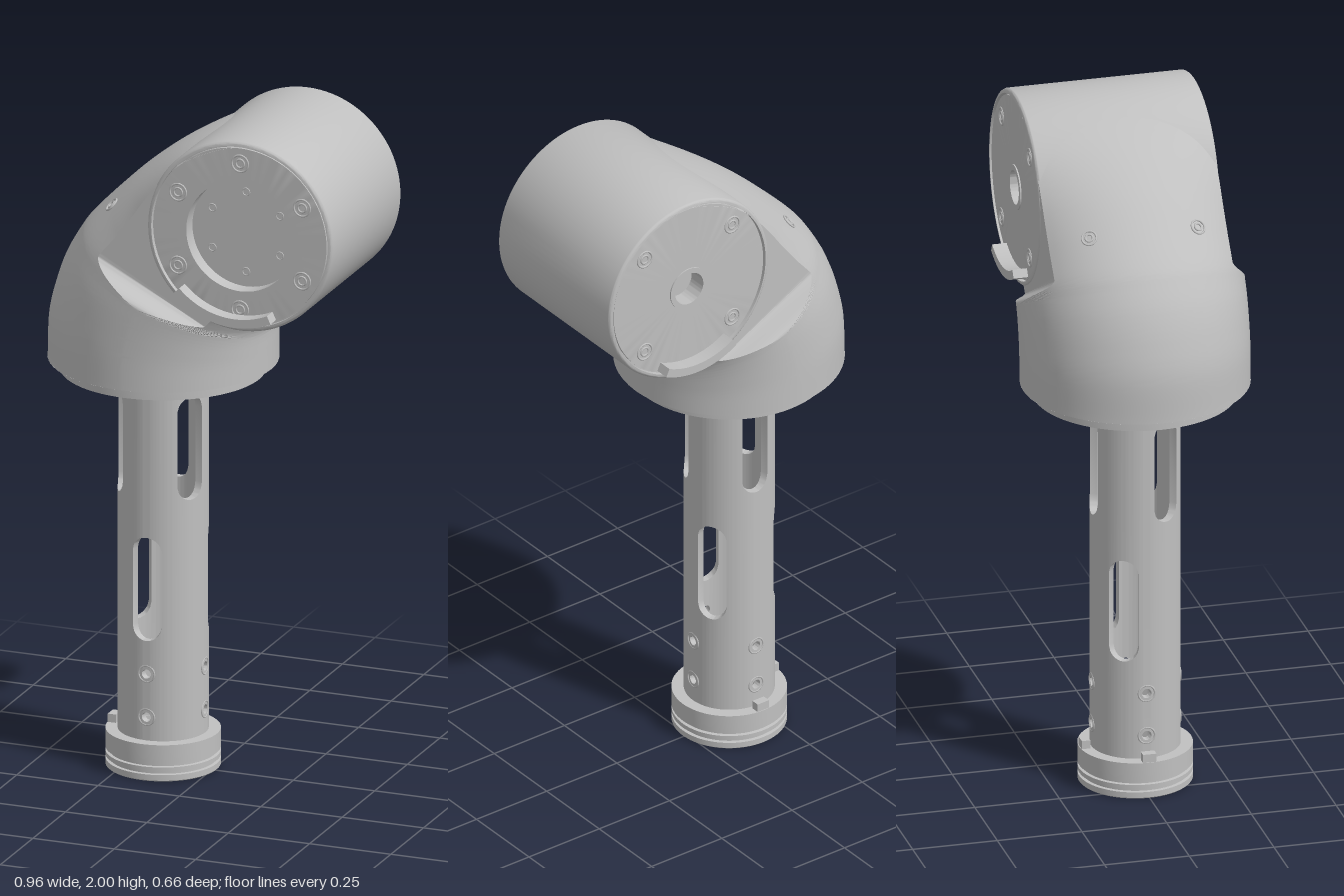
import * as THREE from 'three';
import { toCreasedNormals } from 'three/addons/utils/BufferGeometryUtils.js';

const metal = new THREE.MeshStandardMaterial({ color: 0xc0c0c0, side: THREE.DoubleSide });
metal.name = 'light grey metal';

const TUBE_X = -0.15;                       // axis of tube and base
const JX = 0.191, JY = 1.715;               // axis of the joint drum

function add(parent, name, geo, x = 0, y = 0, z = 0) {
  const m = new THREE.Mesh(geo, metal);
  m.name = name;
  m.position.set(x, y, z);
  parent.add(m);
  return m;
}
function lathe(points, seg = 72) {
  const g = new THREE.LatheGeometry(points.map(p => new THREE.Vector2(p[0], p[1])), seg);
  return toCreasedNormals(g, 0.5);
}
function fromQuads(quads) {
  const pos = [];
  for (const [a, b, c, d] of quads) pos.push(...a, ...b, ...c, ...a, ...c, ...d);
  const g = new THREE.BufferGeometry();
  g.setAttribute('position', new THREE.Float32BufferAttribute(pos, 3));
  return toCreasedNormals(g, 0.55);
}

// Hollow tube with rounded slots and screw holes, built in angular columns
function tubeGeometry(ro, ri, y0, y1) {
  const D = Math.PI / 180, N = 180, quads = [];
  const rows = [                            // centre height, half straight part, radius, angles
    { y: 0.18, s: 0, r: 0.0142, at: [0, 90, 180, 270] },
    { y: 0.31, s: 0, r: 0.0142, at: [0, 90, 180, 270] },
    { y: 0.565, s: 0.11, r: 0.0455, at: [90, 210, 330] },
    { y: 0.985, s: 0.11, r: 0.0455, at: [30, 150, 270] },
  ];
  const P = (deg, r, y) => [r * Math.cos(deg * D), y, r * Math.sin(deg * D)];
  const offset = (row, deg) => Math.min(...row.at.map(a => Math.abs(((deg - a + 540) % 360) - 180))) * D * ro;
  const open = (row, i) => Math.max(offset(row, i * 2), offset(row, i * 2 + 2)) <= row.r + 0.0005;
  const half = (row, deg) => row.s + Math.sqrt(Math.max(0, row.r ** 2 - offset(row, deg) ** 2));
  for (let i = 0; i < N; i++) {
    const a = i * 2, b = a + 2;
    let la = y0, lb = y0;
    const wall = (ha, hb) => {
      quads.push([P(b, ro, lb), P(a, ro, la), P(a, ro, ha), P(b, ro, hb)]);
      quads.push([P(a, ri, la), P(b, ri, lb), P(b, ri, hb), P(a, ri, ha)]);
    };
    for (const row of rows) {
      const o = open(row, i), ha = o ? half(row, a) : 0, hb = o ? half(row, b) : 0;
      const lo = [row.y - ha, row.y - hb], hi = [row.y + ha, row.y + hb];
      wall(lo[0], lo[1]);
      if (o) {
        quads.push([P(b, ro, lo[1]), P(a, ro, lo[0]), P(a, ri, lo[0]), P(b, ri, lo[1])]);
        quads.push([P(a, ro, hi[0]), P(b, ro, hi[1]), P(b, ri, hi[1]), P(a, ri, hi[0])]);
        if (!open(row, i - 1)) quads.push([P(a, ro, lo[0]), P(a, ro, hi[0]), P(a, ri, hi[0]), P(a, ri, lo[0])]);
        if (!open(row, i + 1)) quads.push([P(b, ri, lo[1]), P(b, ri, hi[1]), P(b, ro, hi[1]), P(b, ro, lo[1])]);
      }
      [la, lb] = hi;
    }
    wall(y1, y1);
  }
  return fromQuads(quads);
}

// Elbow housing: sections from outer point P to inner point Q, with flattened sides
function elbowGeometry() {
  const stations = [                        // Px, Py, Qx, Qy, roundness, half width
    [-0.48, 1.23, 0.182, 1.23, 0.33, 0.33], [-0.475, 1.36, 0.182, 1.28, 0.33, 0.33],
    [-0.452, 1.46, 0.182, 1.31, 0.33, 0.33], [-0.42, 1.545, 0.182, 1.335, 0.33, 0.33],
    [-0.38, 1.615, 0.183, 1.355, 0.33, 0.327], [-0.348, 1.658, 0.188, 1.373, 0.332, 0.263],
    [-0.27, 1.738, 0.2, 1.396, 0.34, 0.263], [-0.18, 1.822, 0.217, 1.412, 0.37, 0.263],
    [-0.08, 1.897, 0.232, 1.424, 0.45, 0.263], [0.02, 1.95, 0.245, 1.433, 0.6, 0.263],
    [0.12, 1.984, 0.255, 1.44, 0.75, 0.263], [0.19, 1.996, 0.255, 1.446, 0.9, 0.263],
  ];
  const curve = k => new THREE.CatmullRomCurve3(
    stations.map(s => new THREE.Vector3(s[k], s[k + 1], s[4 + k / 2])), false, 'catmullrom', 0.5);
  const pc = curve(0), qc = curve(2), S = 143, N = 28, rings = [];
  for (let i = 0; i <= S; i++) {
    const p = pc.getPoint(i / S), q = qc.getPoint(i / S);
    const W = p.z, lim = Math.min(W * 0.9999, Math.max(0.263, q.z));
    const cx = (p.x + q.x) / 2, cy = (p.y + q.y) / 2, hx = p.x - cx, hy = p.y - cy;
    const a0 = Math.asin(lim / W), u0 = Math.cos(a0);
    const at = (u, z) => [cx + hx * u, cy + hy * u, z];
    // leave the drum's circular face free
    const len = Math.hypot(hx, hy);
    const mid = ((JX - cx) * hx + (JY - cy) * hy) / len ** 2;
    const dist2 = (cx + hx * mid - JX) ** 2 + (cy + hy * mid - JY) ** 2;
    const w = Math.sqrt(Math.max(0, 0.279 ** 2 - dist2)) / len;
    const clamp = u => Math.min(u0, Math.max(-u0, u));
    const uA = clamp(mid + w), uB = clamp(mid - w), ring = [];
    for (let j = 0; j <= N; j++) { const a = a0 * (2 * j / N - 1); ring.push(at(Math.cos(a), W * Math.sin(a))); }
    ring.push(at(uA, lim), at(uB, lim));
    for (let j = 0; j <= N; j++) { const a = a0 * (1 - 2 * j / N); ring.push(at(-Math.cos(a), W * Math.sin(a))); }
    ring.push(at(uB, -lim), at(uA, -lim));
    rings.push(ring);
  }
  const M = rings[0].length, quads = [];
  for (let i = 0; i < S; i++) for (let j = 0; j < M; j++) {
    if (j === N + 1 || j === M - 2) continue;
    const k = (j + 1) % M;
    quads.push([rings[i][j], rings[i][k], rings[i + 1][k], rings[i + 1][j]]);
  }
  return fromQuads(quads);
}

// Screw with a raised rim, facing local +z
function screw(r) {
  const g = new THREE.Group();
  g.name = 'screw';
  add(g, 'screwRim', new THREE.TorusGeometry(r, 0.003, 8, 24));
  add(g, 'screwSocket', new THREE.TorusGeometry(r * 0.5, 0.003, 8, 20));
  return g;
}

// Curved stop block on the drum face
function stopGeometry(from, to) {
  const s = new THREE.Shape(), D = Math.PI / 180;
  s.absarc(0, 0, 0.262, from * D, to * D, false);
  s.absarc(0, 0, 0.236, to * D, from * D, true);
  return new THREE.ExtrudeGeometry(s, { depth: 0.047, bevelEnabled: false, curveSegments: 24 });
}

export function createModel() {
  const model = new THREE.Group();
  model.name = 'robotJoint';

  // Base collar with grooves and a centre bore
  const base = new THREE.Group();
  base.name = 'base';
  base.position.x = TUBE_X;
  model.add(base);
  add(base, 'baseCollar', lathe([[0.001, 0.06], [0.033, 0.06], [0.033, 0], [0.162, 0], [0.165, 0.003], [0.165, 0.02],
    [0.155, 0.021], [0.155, 0.029], [0.165, 0.03], [0.165, 0.043], [0.155, 0.044], [0.155, 0.052],
    [0.165, 0.053], [0.165, 0.11], [0.105, 0.11]]));
  for (let i = 0; i < 6; i++) {
    const a = i * Math.PI / 3;
    add(base, 'baseHoleRim', new THREE.TorusGeometry(0.009, 0.002, 6, 16), 0.11 * Math.cos(a), 0.001, 0.11 * Math.sin(a))
      .rotation.x = Math.PI / 2;
  }
  add(base, 'sideKey', new THREE.BoxGeometry(0.025, 0.03, 0.04), -0.15, 0.12, 0);
  add(base, 'backKey', new THREE.BoxGeometry(0.04, 0.03, 0.025), 0, 0.12, -0.15);

  // Slotted tube and rims of its screw holes
  add(base, 'slottedTube', tubeGeometry(0.13, 0.108, 0.05, 1.3));
  for (const y of [0.18, 0.31]) for (let i = 0; i < 4; i++) {
    const a = i * Math.PI / 2;
    add(base, 'holeRim', new THREE.TorusGeometry(0.024, 0.003, 8, 24), 0.128 * Math.sin(a), y, 0.128 * Math.cos(a))
      .rotation.y = a;
  }

  // Flange under the housing, with a ceiling and clamp blocks inside
  const flange = new THREE.Group();
  flange.name = 'flange';
  flange.position.x = TUBE_X;
  model.add(flange);
  add(flange, 'flangeRing', lathe([[0.1, 1.31], [0.262, 1.31], [0.262, 1.195], [0.295, 1.195], [0.295, 1.228], [0.33, 1.23]]));
  for (let i = 0; i < 4; i++) {
    const arm = new THREE.Group();
    arm.name = 'clamp';
    arm.rotation.y = i * Math.PI / 2;
    flange.add(arm);
    add(arm, 'clampBlock', new THREE.BoxGeometry(0.11, 0.115, 0.13), 0.165, 1.2425, 0);
    add(arm, 'clampHoleRim', new THREE.TorusGeometry(0.014, 0.002, 6, 16), 0.18, 1.185, 0).rotation.x = Math.PI / 2;
  }

  // Housing
  const head = new THREE.Group();
  head.name = 'head';
  model.add(head);
  add(head, 'elbowHousing', elbowGeometry());
  for (const s of [-1, 1]) {
    const port = screw(0.021);
    port.name = 'housingScrew';
    port.position.set(-0.242, 1.722, 0.16 * s);
    port.lookAt(-0.242 - 0.66, 1.722 + 0.68, 0.16 * s + 0.3 * s);
    port.translateZ(0.003);
    head.add(port);
  }

  // Joint drum: back bore, rounded rim, recessed front
  const drum = new THREE.Group();
  drum.name = 'jointDrum';
  drum.position.set(JX, JY, 0);
  head.add(drum);
  const rim = [];
  for (let i = 0; i <= 6; i++) {
    const a = i / 6 * Math.PI / 2;
    rim.push([0.273 + 0.012 * Math.sin(a), 0.255 + 0.012 * Math.cos(a)]);
  }
  add(drum, 'drumShell', lathe([[0.001, -0.21], [0.05, -0.21], [0.05, -0.266], [0.066, -0.266], [0.066, -0.262],
    [0.266, -0.262], [0.266, -0.252], [0.271, -0.252], [0.271, -0.267],
    ...rim.map(p => [p[0], -p[1]]), ...rim.slice().reverse(),
    [0.271, 0.267], [0.271, 0.252], [0.266, 0.252], [0.266, 0.262], [0.165, 0.262], [0.165, 0.215], [0.001, 0.215]], 96))
    .rotation.x = Math.PI / 2;
  for (let i = 0; i < 6; i++) {
    const a = Math.PI / 2 + i * Math.PI / 3, c = Math.cos(a), s = Math.sin(a);
    const bolt = screw(0.025);
    bolt.position.set(0.22 * c, 0.22 * s, 0.262);
    drum.add(bolt);
    add(drum, 'hubHoleRim', new THREE.TorusGeometry(0.011, 0.002, 6, 16), 0.12 * c, 0.12 * s, 0.215);
  }
  for (let i = 0; i < 4; i++) {
    const a = Math.PI / 4 + i * Math.PI / 2, bolt = screw(0.025);
    bolt.position.set(0.22 * Math.cos(a), 0.22 * Math.sin(a), -0.262);
    bolt.rotation.y = Math.PI;
    drum.add(bolt);
  }
  add(drum, 'frontStop', stopGeometry(224, 295), 0, 0, 0.258);
  add(drum, 'backStop', stopGeometry(238, 295), 0, 0, -0.305);

  return model;
}
